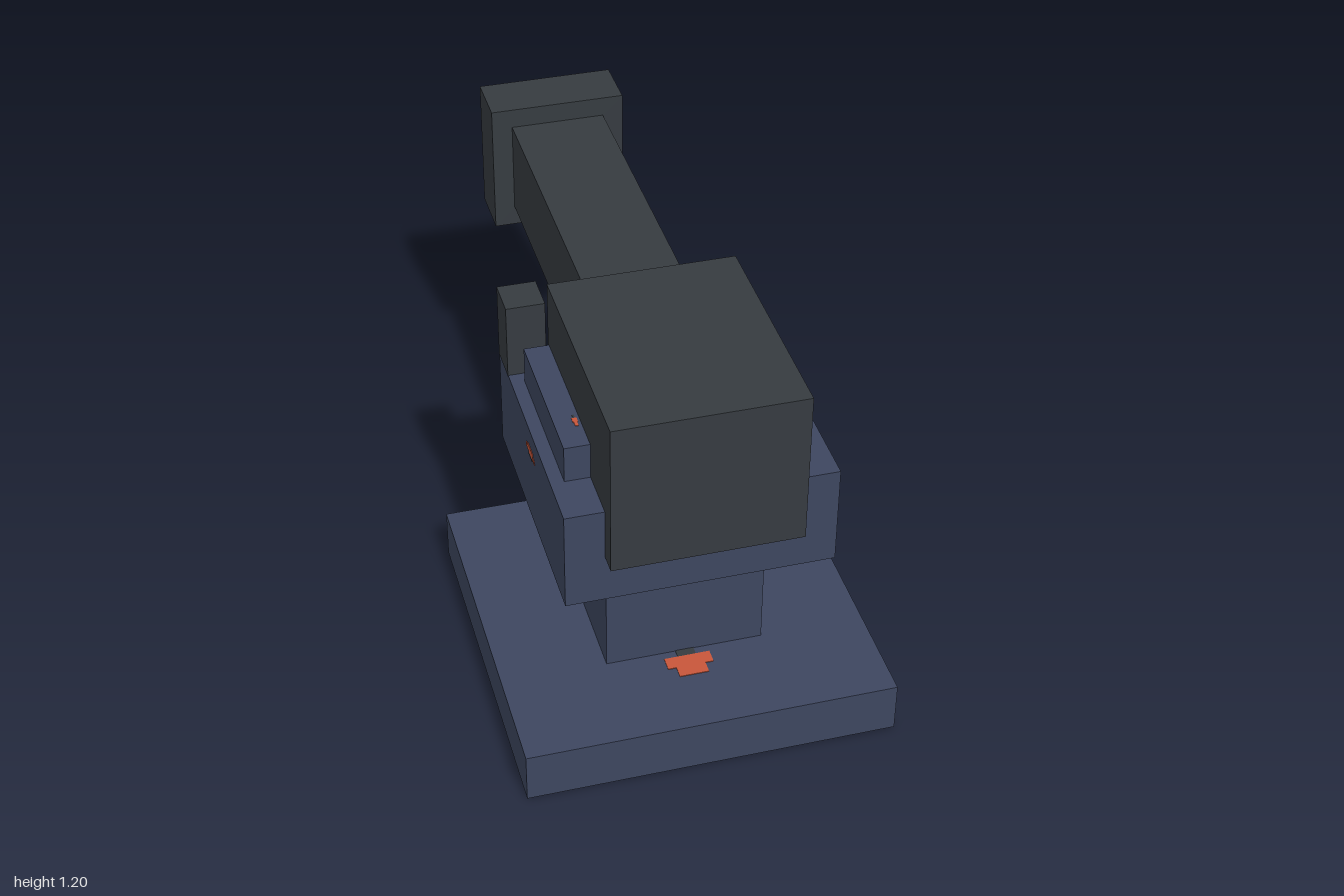
import * as THREE from 'three';

const mat = (name, color) => {
  const m = new THREE.MeshStandardMaterial({ color });
  m.name = name;
  return m;
};

export function createModel() {
  const model = new THREE.Group();
  model.name = 'turret';
  const blue = mat('slate blue', 0x3d465f);
  const dark = mat('gunmetal', 0x363b40);
  const orange = mat('orange mark', 0xc8563a);

  // Box given by its lower and upper corners
  function block(name, material, [x0, y0, z0], [x1, y1, z1]) {
    const mesh = new THREE.Mesh(new THREE.BoxGeometry(x1 - x0, y1 - y0, z1 - z0), material);
    mesh.position.set((x0 + x1) / 2, (y0 + y1) / 2, (z0 + z1) / 2);
    mesh.name = name;
    model.add(mesh);
    return mesh;
  }

  // Each face: turn about x, turn about y
  const faces = {
    front: [0, 0],
    back: [0, Math.PI],
    left: [0, Math.PI / 2],
    right: [0, -Math.PI / 2],
    top: [-Math.PI / 2, Math.PI],
    bottom: [Math.PI / 2, Math.PI],
  };

  // Stepped orange mark with a dark foot, scaled to the face that carries it
  function addMarks(box, names) {
    const { width, height, depth } = box.geometry.parameters;
    for (const face of names) {
      const sideways = face === 'left' || face === 'right';
      const level = face === 'top' || face === 'bottom';
      const w = sideways ? depth : width;
      const h = level ? depth : height;
      const reach = level ? height : sideways ? width : depth;
      const holder = new THREE.Group();
      holder.name = face + 'Mark';
      holder.rotation.set(faces[face][0], faces[face][1], 0, 'YXZ');
      const rows = [
        [0.08, 0.035, 0.297, orange],
        [0.125, 0.04, 0.26, orange],
        [0.05, 0.03, 0.225, dark],
      ];
      for (const [rw, rh, ry, material] of rows) {
        const plate = new THREE.Mesh(new THREE.BoxGeometry(rw * w, rh * h, 0.004), material);
        plate.position.set(0, ry * h, reach / 2);
        plate.name = 'markPlate';
        holder.add(plate);
      }
      box.add(holder);
    }
  }

  // Pedestal
  const base = block('base', blue, [-0.555, 0, -0.11], [0.555, 0.16, 1]);
  addMarks(base, ['top', 'bottom']);
  const column = block('column', blue, [-0.238, 0.16, 0.21], [0.238, 0.56, 0.685]);
  addMarks(column, ['front', 'back', 'left', 'right']);

  // Rotating mount with a rail on each side
  const mount = block('mount', blue, [-0.395, 0.56, 0.05], [0.395, 0.875, 0.84]);
  addMarks(mount, ['left', 'right', 'bottom']);
  for (const s of [-1, 1]) {
    const x = s * 0.295;
    const rail = block(s > 0 ? 'leftRail' : 'rightRail', blue, [x - 0.06, 0.8, 0.205], [x + 0.06, 0.99, 0.685]);
    addMarks(rail, ['top']);
  }

  // Gun
  block('breech', dark, [-0.28, 0.713, 0.195], [0.28, 1.195, 0.9]);
  block('barrel', dark, [-0.15, 0.805, -0.83], [0.15, 1.105, 0.2]);
  block('muzzle', dark, [-0.215, 0.74, -1], [0.215, 1.168, -0.825]);

  // Sighting post on the rear corner of the mount
  block('sightPost', dark, [-0.396, 0.872, 0.049], [-0.28, 1.11, 0.167]);

  return model;
}
